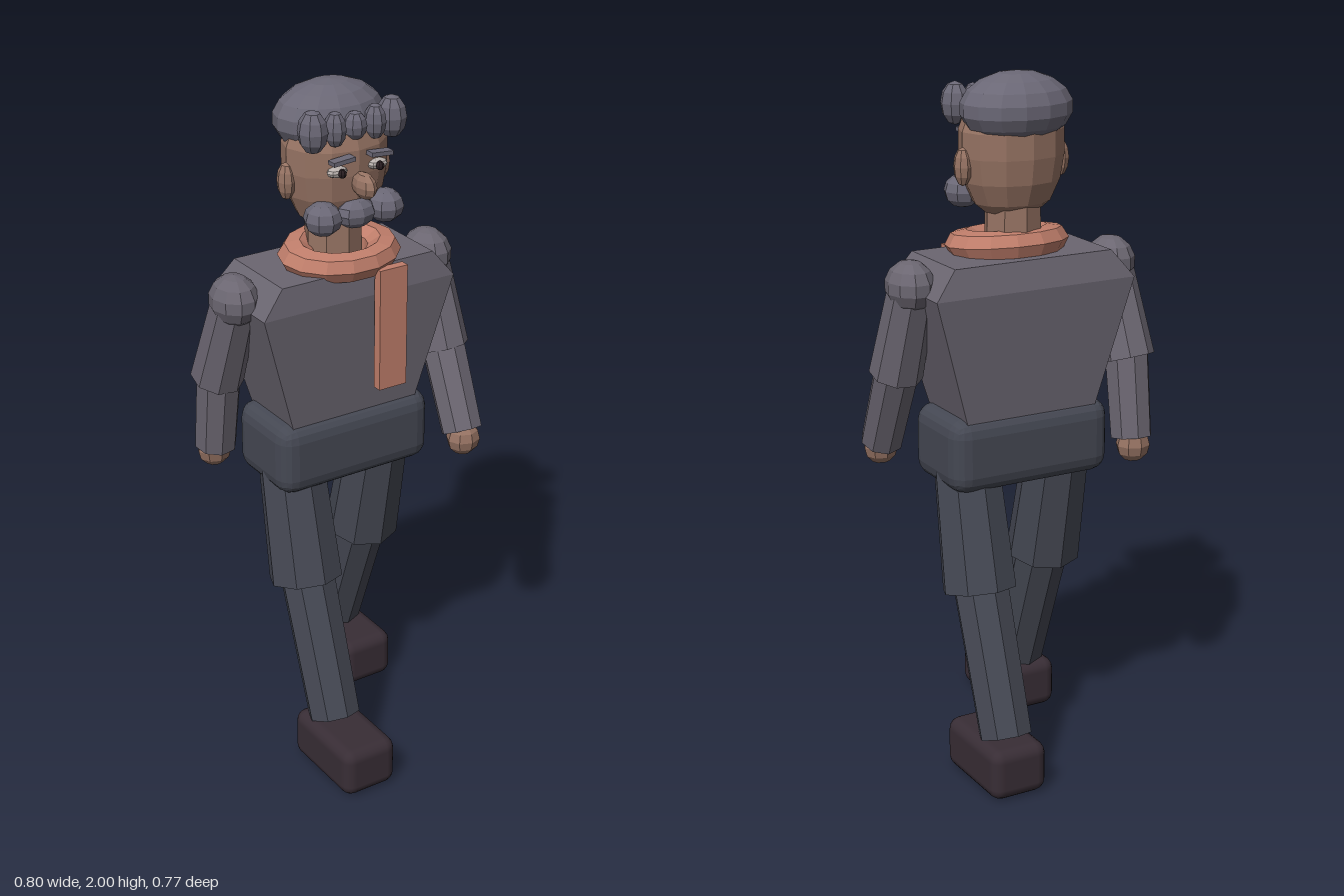
import * as THREE from 'three';
import { RoundedBoxGeometry } from 'three/addons/geometries/RoundedBoxGeometry.js';

const V = (x, y, z) => new THREE.Vector3(x, y, z);

export function createModel() {
  const root = new THREE.Group();
  const mat = (name, color) => {
    const m = new THREE.MeshStandardMaterial({ color });
    m.name = name;
    m.flatShading = true;
    return m;
  };
  const jacket = mat('jacket grey', 0x6b6671);
  const trousers = mat('trouser slate', 0x454853);
  const shoes = mat('shoe brown', 0x382d35);
  const skin = mat('skin', 0x967363);
  const hair = mat('hair grey', 0x6a6775);
  const scarf = mat('scarf salmon', 0xc07e6b);
  const eyeWhite = mat('eye white', 0xb8b0ac);
  const dark = mat('pupil dark', 0x2a1f22);
  // Shoes and pelvis use smooth bevels
  shoes.flatShading = false;

  const add = (name, geo, material, x = 0, y = 0, z = 0) => {
    const m = new THREE.Mesh(geo, material);
    m.name = name;
    m.position.set(x, y, z);
    root.add(m);
    return m;
  };
  const ball = (name, material, p, r, w = 10, h = 7) => {
    const m = add(name, new THREE.SphereGeometry(1, w, h), material, ...p);
    m.scale.set(...r);
    return m;
  };
  // Tapered eight-sided limb between two points
  const limb = (name, material, a, b, ra, rb) => {
    const d = b.clone().sub(a);
    const m = add(name, new THREE.CylinderGeometry(rb, ra, d.length(), 8), material);
    m.position.copy(a).addScaledVector(d, 0.5);
    m.quaternion.setFromUnitVectors(V(0, 1, 0), d.normalize());
    return m;
  };

  // Torso: rectangular rings from waist to shoulders, with chamfered top
  const rings = [ // y, half width, back z, front z
    [1.04, 0.2, -0.17, 0.055],
    [1.42, 0.31, -0.2, 0.087],
    [1.5, 0.245, -0.18, 0.075],
  ].map(([y, w, b, f]) => [V(-w, y, f), V(w, y, f), V(w, y, b), V(-w, y, b)]);
  const pts = [];
  const quad = (a, b, c, d) => pts.push(a, b, c, a, c, d);
  for (let i = 0; i < 2; i++) {
    for (let j = 0; j < 4; j++) {
      const k = (j + 1) % 4;
      quad(rings[i][j], rings[i][k], rings[i + 1][k], rings[i + 1][j]);
    }
  }
  quad(...rings[2]);
  quad(...[...rings[0]].reverse());
  const torso = new THREE.BufferGeometry().setFromPoints(pts);
  torso.computeVertexNormals();
  add('torso', torso, jacket);

  // Pelvis
  add('pelvis', new RoundedBoxGeometry(0.5, 0.215, 0.27, 2, 0.05), trousers, 0, 0.96, -0.055);

  // Legs and shoes: the right leg strides forward, the left back
  for (const s of [-1, 1]) {
    const side = s > 0 ? 'left' : 'right';
    const x = s * 0.153;
    const swing = (d) => -0.055 - s * d;
    const hip = V(x, 0.95, swing(0));
    const knee = V(x, 0.555, swing(0.085));
    limb(side + 'Thigh', trousers, hip, knee, 0.095, 0.109);
    limb(side + 'Shin', trousers, V(x, 0.6, swing(0.08)), V(x, 0.16, swing(0.237)), 0.082, 0.077);
    add(side + 'Shoe', new RoundedBoxGeometry(0.175, 0.152, 0.296, 2, 0.035), shoes, x, 0.08, -s * 0.238);
  }

  // Arms: the left swings forward, the right back
  const arms = [
    ['left', 1, 0.02, 0.132, 0.142],
    ['right', -1, -0.15, -0.182, -0.195],
  ];
  for (const [side, s, ez, wz, hz] of arms) {
    const shoulder = V(s * 0.312, 1.44, -0.06);
    const elbow = V(s * 0.327, 1.17, ez);
    ball(side + 'Shoulder', jacket, [s * 0.318, 1.438, -0.058], [0.068, 0.073, 0.082]);
    limb(side + 'UpperArm', jacket, shoulder, elbow, 0.066, 0.076);
    limb(side + 'Forearm', jacket, elbow.clone().lerp(shoulder, 0.1), V(s * 0.321, 0.945, wz), 0.065, 0.061);
    ball(side + 'Hand', skin, [s * 0.319, 0.925, hz], [0.051, 0.051, 0.047], 8, 6);
  }

  // Neck and scarf
  limb('neck', skin, V(0, 1.48, -0.057), V(0, 1.68, -0.057), 0.083, 0.078);
  const wrap = add('scarfWrap', new THREE.TorusGeometry(0.13, 0.052, 7, 14), scarf, 0, 1.522, -0.025);
  wrap.rotation.x = Math.PI / 2 + 0.09;
  wrap.scale.set(1, 0.78, 0.8);
  add('scarfTail', new THREE.BoxGeometry(0.09, 0.36, 0.028), scarf, 0.086, 1.32, 0.104);

  // Head, built as a faceted barrel with a rounded jaw
  const profile = [[0, 1.6], [0.075, 1.61], [0.112, 1.64], [0.14, 1.7], [0.152, 1.77],
    [0.152, 1.84], [0.12, 1.92], [0, 1.96]].map(([r, y]) => new THREE.Vector2(r, y));
  const head = add('head', new THREE.LatheGeometry(profile, 12), skin, 0, 0, -0.05);
  head.scale.z = 0.81;

  // Hair cap and fringe curls
  ball('hairCap', hair, [0, 1.9, -0.077], [0.164, 0.1, 0.125], 14, 9);
  for (const [x, z, rx, ry] of [[0.125, 0.04, 0.041, 0.06], [0.063, 0.053, 0.03, 0.05], [0, 0.053, 0.033, 0.04]]) {
    for (const s of x ? [-1, 1] : [1]) {
      ball('fringeCurl', hair, [s * x, 1.905, z], [rx, ry, x > 0.1 ? 0.045 : 0.033], 8, 6);
    }
  }

  // Face
  ball('nose', skin, [0, 1.75, 0.098], [0.026, 0.037, 0.05], 8, 6);
  ball('moustacheCentre', hair, [0, 1.66, 0.055], [0.06, 0.042, 0.045], 8, 6);
  for (const s of [-1, 1]) {
    ball('moustacheEnd', hair, [s * 0.1, 1.66, 0.048], [0.053, 0.047, 0.056], 8, 6);
    ball('ear', skin, [s * 0.152, 1.747, -0.052], [0.025, 0.053, 0.03], 8, 6);
    ball('eye', eyeWhite, [s * 0.064, 1.79, 0.064], [0.032, 0.015, 0.02], 8, 6);
    ball('pupil', dark, [s * 0.06, 1.79, 0.083], [0.012, 0.013, 0.012], 8, 6);
    const brow = add('brow', new THREE.BoxGeometry(0.068, 0.012, 0.03), hair, s * 0.06, 1.826, 0.082);
    brow.rotation.z = -s * 0.08;
  }
  return root;
}
